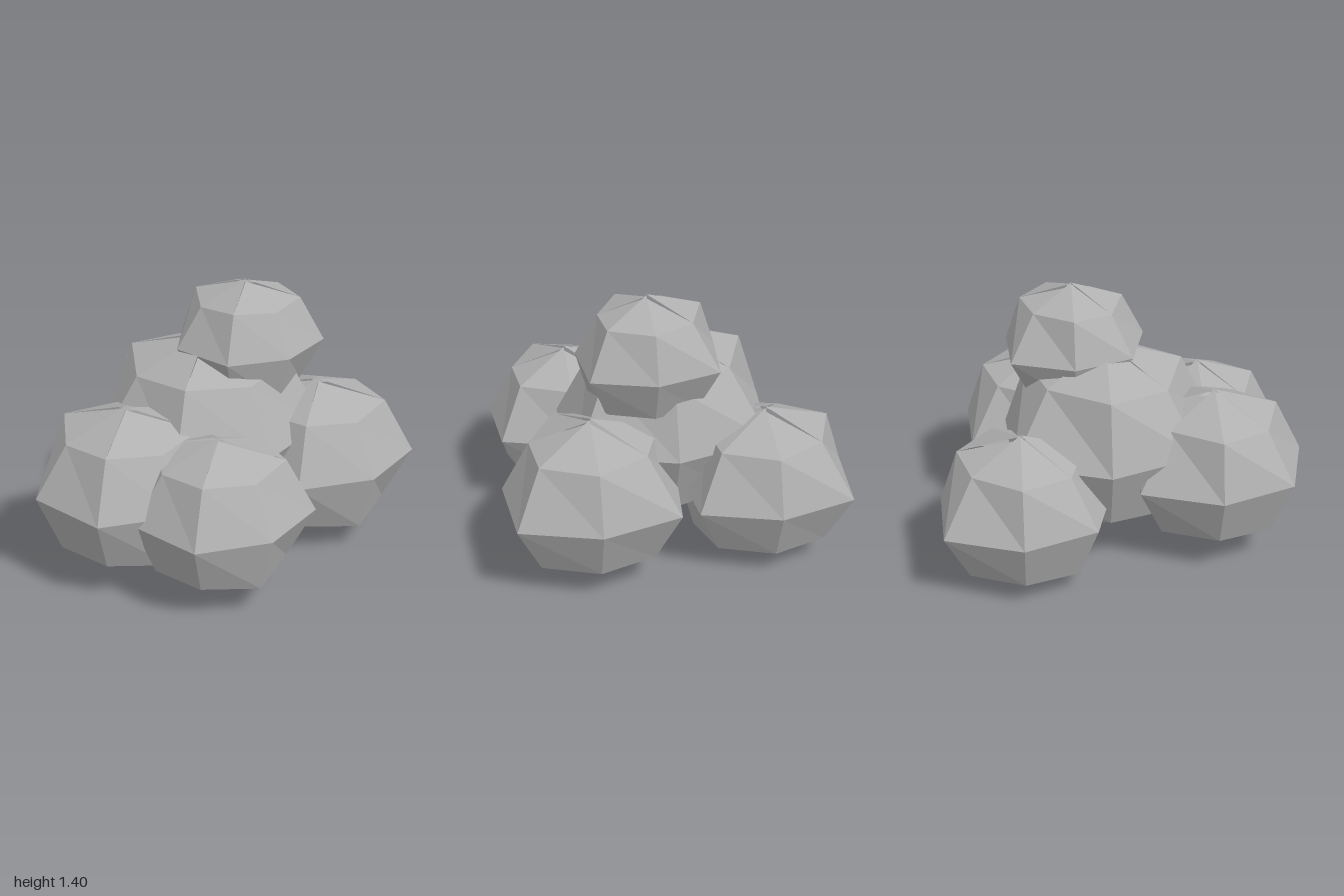
import * as THREE from 'three';

const SIDES = 7;

// Rings of one lumpy puff of radius 1, top to bottom: radius and height at each of the seven angles
const RINGS = [
  { r: [0.74, 0.83, 0.77, 0.88, 0.78, 0.83, 0.85], y: [0.65, 0.7, 0.64, 0.71, 0.7, 0.7, 0.7] },
  { r: [1.09, 1.19, 1.17, 1.11, 1.25, 1.07, 1.24], y: [0, 0, 0, 0, 0, 0, 0] },
  { r: [0.88, 0.89, 0.87, 0.84, 0.88, 0.79, 0.88], y: [-0.76, -0.68, -0.72, -0.67, -0.68, -0.68, -0.67] },
];
// Each facet round a pole ends at its own height, which leaves small crumpled slits
const TOP = [0.96, 1, 0.97, 1, 0.93, 0.98, 0.94];
const BOTTOM = [-0.92, -1, -0.9, -0.97, -0.88, -1, -0.91];

function puffGeometry() {
  const rings = RINGS.map(({ r, y }) => r.map((radius, i) => {
    const a = (i / SIDES) * Math.PI * 2;
    return [radius * Math.cos(a), y[i], radius * Math.sin(a)];
  }));
  const points = [];
  for (let i = 0; i < SIDES; i++) {
    const j = (i + 1) % SIDES;
    points.push([0, TOP[i], 0], rings[0][j], rings[0][i]);
    for (let k = 0; k < 2; k++) {
      const a = rings[k], b = rings[k + 1];
      points.push(a[i], a[j], b[i], a[j], b[j], b[i]);
    }
    points.push(rings[2][i], rings[2][j], [0, BOTTOM[i], 0]);
  }
  const geometry = new THREE.BufferGeometry();
  geometry.setAttribute('position', new THREE.Float32BufferAttribute(points.flat(), 3));
  geometry.computeVertexNormals();
  return geometry;
}

export function createModel() {
  const group = new THREE.Group();
  group.name = 'puffCluster';
  const grey = new THREE.MeshStandardMaterial({ color: 0xb0b0b0, flatShading: true });
  grey.name = 'softGrey';
  const geometry = puffGeometry();

  // name, centre x, y, z, radius
  const puffs = [
    ['centrePuff', 0.01, 0.64, -0.07, 0.505],
    ['frontPuff', 0.11, 0.5, 0.5, 0.42],
    ['leftPuff', 0.55, 0.46, 0.26, 0.39],
    ['rightPuff', -0.53, 0.41, -0.31, 0.405],
    ['backPuff', 0.335, 0.455, -0.57, 0.415],
    ['topPuff', 0.07, 1.08, -0.28, 0.33],
  ];
  for (const [name, x, y, z, radius] of puffs) {
    const puff = new THREE.Mesh(geometry, grey);
    puff.name = name;
    puff.position.set(x, y, z);
    puff.scale.setScalar(radius);
    group.add(puff);
  }
  return group;
}
